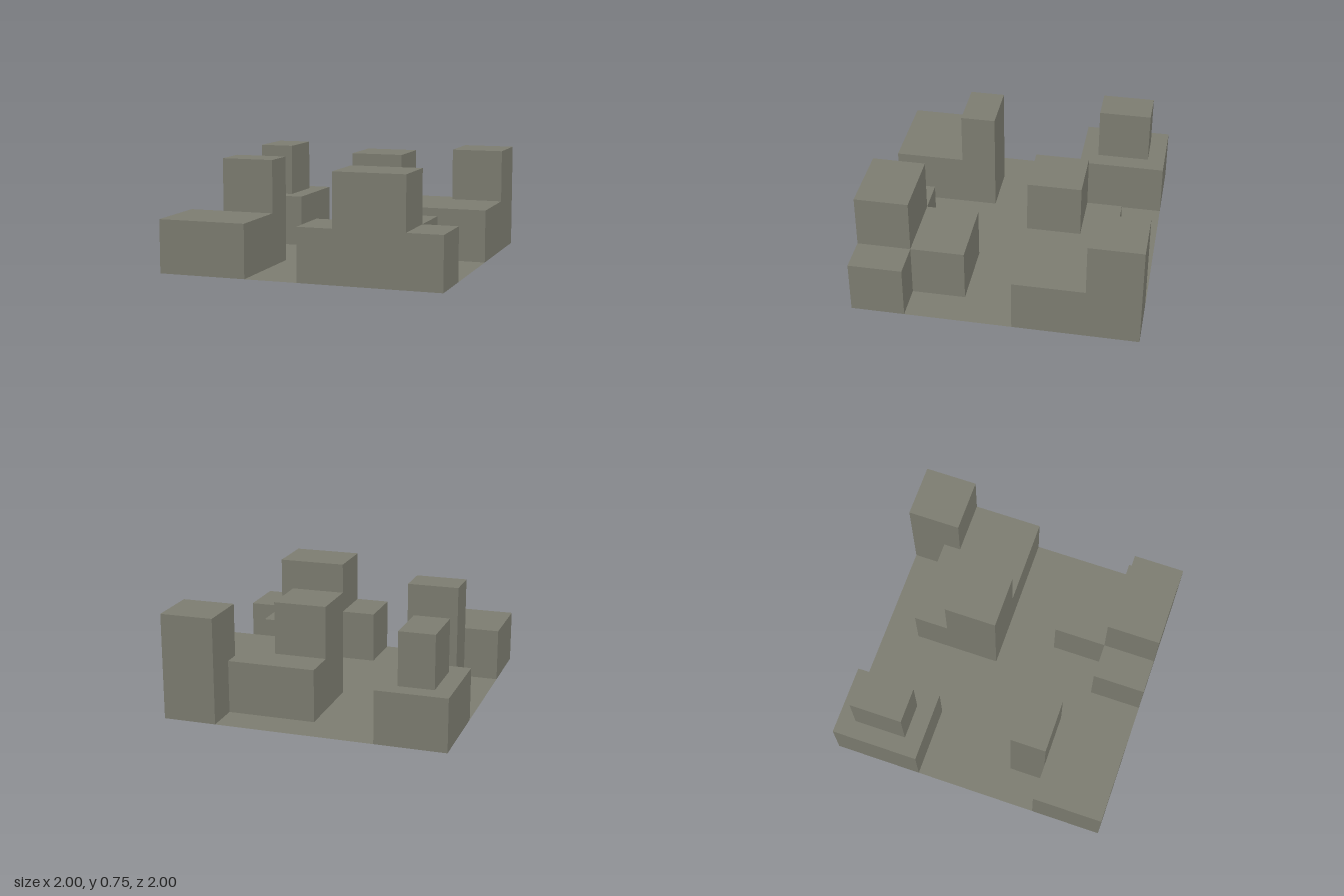
import * as THREE from 'three';

const U = 1 / 8; // every block sits on a grid of eighths

// Blocks of each building: [x0, x1, z0, z1, height] in grid units
const BUILDINGS = {
  backRightCornerBlock: [[-8, -4, -8, -3, 3], [-7, -5, -7, -4, 6]],
  backLeftBlock: [[0, 8, -6, -1, 3], [0, 3, -4, -1, 6], [5, 8, -8, -5, 6]],
  frontRightCornerBlock: [[-8, -3, 4, 8, 3], [-6, -3, 2, 4, 6]],
  frontLeftBlock: [[0, 8, 5, 8, 3], [2, 6, 5, 8, 6], [2, 6, 2, 5, 3]],
};

// Height of a grid cell: the tallest block that covers it
function heightAt(blocks, i, k) {
  let h = 0;
  for (const [x0, x1, z0, z1, y] of blocks) {
    if (i >= x0 && i < x1 && k >= z0 && k < z1) h = Math.max(h, y);
  }
  return h;
}

// Open-bottomed shell: a top for each accepted cell, a wall at each step down
function shell(name, blocks, accept, material) {
  const pos = [];
  const quad = (a, b, c, d) => {
    for (const p of [a, b, c, a, c, d]) pos.push(p[0] * U, p[1] * U, p[2] * U);
  };
  for (let i = -8; i < 8; i++) {
    for (let k = -8; k < 8; k++) {
      const h = heightAt(blocks, i, k);
      if (!accept(h)) continue;
      quad([i, h, k + 1], [i + 1, h, k + 1], [i + 1, h, k], [i, h, k]);
      for (const [dx, dz] of [[1, 0], [-1, 0], [0, 1], [0, -1]]) {
        const low = heightAt(blocks, i + dx, k + dz);
        if (low >= h) continue;
        const mx = i + 0.5 + dx / 2, mz = k + 0.5 + dz / 2;
        const tx = dz / 2, tz = -dx / 2;
        quad([mx - tx, low, mz - tz], [mx + tx, low, mz + tz],
          [mx + tx, h, mz + tz], [mx - tx, h, mz - tz]);
      }
    }
  }
  const geometry = new THREE.BufferGeometry();
  geometry.setAttribute('position', new THREE.Float32BufferAttribute(pos, 3));
  geometry.computeVertexNormals();
  const mesh = new THREE.Mesh(geometry, material);
  mesh.name = name;
  return mesh;
}

export function createModel() {
  const model = new THREE.Group();
  model.name = 'blockTerrain';
  const stone = new THREE.MeshStandardMaterial({ color: 0x7d7d71, side: THREE.DoubleSide });
  stone.name = 'stone';

  // Ground sheet, open under the buildings
  const all = Object.values(BUILDINGS).flat();
  model.add(shell('ground', all, (h) => h === 0, stone));

  // Hollow buildings with their towers
  for (const [name, blocks] of Object.entries(BUILDINGS)) {
    model.add(shell(name, blocks, (h) => h > 0, stone));
  }
  return model;
}
